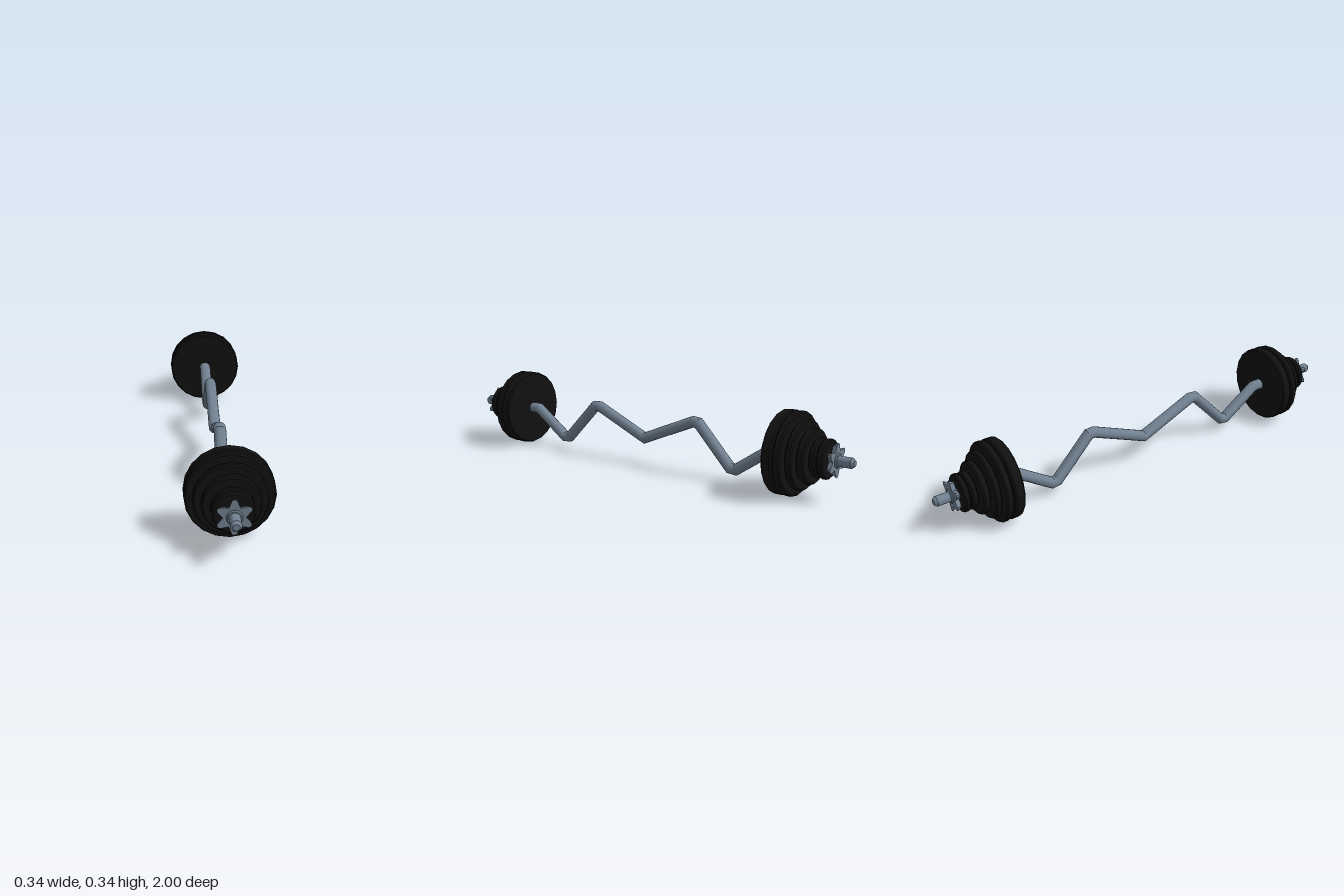
import * as THREE from 'three';
import { toCreasedNormals } from 'three/addons/utils/BufferGeometryUtils.js';

const AXIS_Y = 0.174;
const steel = new THREE.MeshStandardMaterial({ color: 0x708090 });
const iron = new THREE.MeshStandardMaterial({ color: 0x111111 });

function part(name, geometry, material) {
  const mesh = new THREE.Mesh(toCreasedNormals(geometry, 0.6), material);
  mesh.name = name;
  return mesh;
}

// Solid of revolution about z from [radius, z] pairs
function turned(profile, sides) {
  const points = profile.map(([r, z]) => new THREE.Vector2(r, z));
  return new THREE.LatheGeometry(points, sides).rotateX(Math.PI / 2);
}

// Disc with bevelled rims
function disc(radius, z0, z1, bevel, sides) {
  return turned([
    [0, z0], [radius - bevel, z0], [radius, z0 + bevel],
    [radius, z1 - bevel], [radius - bevel, z1], [0, z1],
  ], sides);
}

// Zigzag grip: rings mitred at every bend of a path in the yz plane
function gripGeometry() {
  const half = [
    [0.124, 0],
    [0.234, 0.259], [0.232, 0.286],
    [0.063, 0.448], [0.06, 0.476],
    [0.176, 0.645], [0.176, 0.7],
  ];
  const path = [...half.slice(1).reverse().map(([y, z]) => [y, -z]), ...half]
    .map(([y, z]) => new THREE.Vector2(y, z));
  const sides = 16, rx = 0.026, rn = 0.0235;
  const positions = [], indices = [];
  path.forEach((p, i) => {
    const before = p.clone().sub(path[Math.max(i - 1, 0)]).normalize();
    const after = path[Math.min(i + 1, path.length - 1)].clone().sub(p).normalize();
    const t = before.clone().add(after).normalize();
    const mitre = rn / Math.max(t.dot(i ? before : after), 0.7);
    for (let j = 0; j < sides; j++) {
      const a = (j / sides) * Math.PI * 2;
      const n = Math.sin(a) * mitre;
      positions.push(Math.cos(a) * rx, p.x + t.y * n, p.y - t.x * n);
      if (i < path.length - 1) {
        const k = (j + 1) % sides;
        const a0 = i * sides + j, a1 = i * sides + k;
        indices.push(a0, a1, a1 + sides, a0, a1 + sides, a0 + sides);
      }
    }
  });
  const geometry = new THREE.BufferGeometry();
  geometry.setAttribute('position', new THREE.Float32BufferAttribute(positions, 3));
  geometry.setIndex(indices);
  return geometry;
}

// Six-pointed nut with blunt tips, tapering towards the plates
function starGeometry() {
  const shape = new THREE.Shape();
  const point = (r, a, first) =>
    shape[first ? 'moveTo' : 'lineTo'](r * Math.cos(a), r * Math.sin(a));
  for (let i = 0; i < 6; i++) {
    const a = Math.PI / 2 + (i * Math.PI) / 3;
    point(0.066, a - 0.15, i === 0);
    point(0.071, a);
    point(0.066, a + 0.15);
    point(0.041, a + Math.PI / 6);
  }
  const depth = 0.02;
  const geometry = new THREE.ExtrudeGeometry(shape, { depth, bevelEnabled: false });
  const pos = geometry.attributes.position;
  for (let i = 0; i < pos.count; i++) {
    const s = 0.82 + 0.18 * (pos.getZ(i) / depth);
    pos.setXY(i, pos.getX(i) * s, pos.getY(i) * s);
  }
  return geometry.translate(0, 0, 0.908);
}

// Everything outside the grip on one end, pointing along +z
function createEnd(name) {
  const end = new THREE.Group();
  end.name = name;

  // Plates: radius, inner z, outer z
  const plates = [
    [0.1715, 0.685, 0.73], [0.1715, 0.735, 0.767], [0.142, 0.772, 0.8],
    [0.112, 0.805, 0.837], [0.08, 0.842, 0.869], [0.08, 0.874, 0.9],
  ];
  plates.forEach(([r, z0, z1], i) =>
    end.add(part(`plate${i + 1}`, disc(r, z0, z1, 0.006, 20), iron)));

  // Sleeve with chamfered tip
  end.add(part('sleeve', turned([
    [0, 0.69], [0.0215, 0.69], [0.0215, 0.988], [0.0125, 1], [0, 1],
  ], 16), steel));

  // Locking nut
  end.add(part('starNut', starGeometry(), steel));
  end.add(part('nutHub', disc(0.03, 0.9, 0.934, 0.004, 20), steel));

  end.position.y = AXIS_Y;
  return end;
}

export function createModel() {
  const model = new THREE.Group();
  model.name = 'curlBarbell';
  model.add(part('grip', gripGeometry(), steel));
  const front = createEnd('frontEnd');
  const back = createEnd('backEnd');
  back.rotation.y = Math.PI;
  model.add(front, back);
  return model;
}
